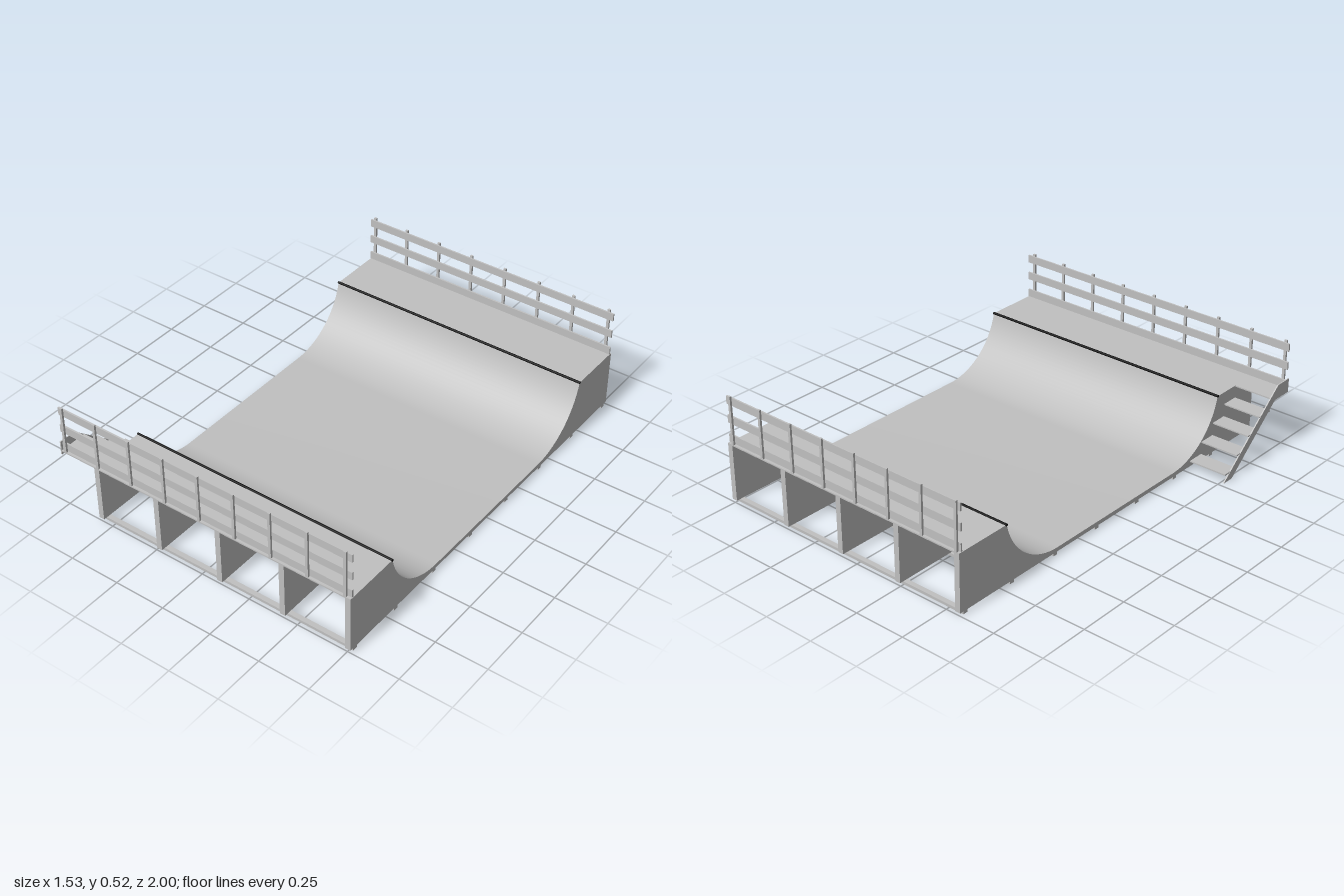
import * as THREE from 'three';
import { toCreasedNormals } from 'three/addons/utils/BufferGeometryUtils.js';

const X0 = -0.575, X1 = 0.765, XSTAIR = -0.765;
const DECK = 0.292, FLAT = 0.033, FLAT_Z = 0.4, R = 0.328, SKIN = 0.006;

// Top line of the half pipe in (z, y), sunk below the riding surface by "off"
function pipeLine(off) {
  const cy = FLAT + R, r = R + off;
  const end = Math.acos((cy - DECK + off) / r);
  const half = [];
  for (let i = 0; i <= 24; i++) {
    const a = (end * i) / 24;
    half.push([FLAT_Z + r * Math.sin(a), cy - r * Math.cos(a)]);
  }
  half.push([1, DECK - off]);
  const other = half.map(([z, y]) => [-z, y]).reverse();
  return other.concat(half);
}

// Extrude a (z, y) outline along x from xa to xb
function extrudeX(points, xa, xb) {
  const shape = new THREE.Shape(points.map(([z, y]) => new THREE.Vector2(z, y)));
  const geo = new THREE.ExtrudeGeometry(shape, { depth: xb - xa, bevelEnabled: false });
  geo.rotateY(-Math.PI / 2).translate(xb, 0, 0);
  return toCreasedNormals(geo, 0.4);
}

export function createModel() {
  const model = new THREE.Group();
  model.name = 'halfPipe';
  const grey = new THREE.MeshStandardMaterial({ color: 0xc0c0c0 });
  grey.name = 'greyBoards';
  const black = new THREE.MeshStandardMaterial({ color: 0x080808 });
  black.name = 'blackCoping';

  const add = (name, geo, mat = grey, parent = model) => {
    const mesh = new THREE.Mesh(geo, mat);
    mesh.name = name;
    parent.add(mesh);
    return mesh;
  };
  // Box given by its limits on each axis
  const box = (name, xa, xb, ya, yb, za, zb, parent = model) => {
    const mesh = add(name, new THREE.BoxGeometry(xb - xa, yb - ya, zb - za), grey, parent);
    mesh.position.set((xa + xb) / 2, (ya + yb) / 2, (za + zb) / 2);
    return mesh;
  };

  // Riding surface with both platforms
  const top = pipeLine(0), under = pipeLine(SKIN);
  add('ridingSurface', extrudeX([...top, ...under.slice().reverse()], X0, X1));

  // Upright ribs running the whole length
  const ribOutline = [...under, [1, 0.013], [-1, 0.013]];
  for (let i = 0; i < 5; i++) {
    const x = X0 + i * 0.32825;
    add('rib', extrudeX(ribOutline, x, x + 0.027));
  }

  // Cross joists on the ground
  for (const z of [0.97, 0.69, 0.415, 0.14]) {
    for (const s of [-1, 1]) box('joist', X0, X1, 0, 0.013, s * z - 0.012, s * z + 0.012);
  }

  // Coping along both lips
  for (const s of [-1, 1]) {
    const geo = new THREE.CylinderGeometry(0.006, 0.006, X1 - X0 + 0.004, 12).rotateZ(Math.PI / 2);
    add('coping', geo, black).position.set((X0 + X1) / 2, DECK, s * 0.722);
  }

  // Railings: posts outside, three boards inside
  for (const s of [-1, 1]) {
    const railing = new THREE.Group();
    railing.name = s > 0 ? 'frontRailing' : 'backRailing';
    model.add(railing);
    const first = s > 0 ? 0 : 1;
    for (let i = first; i < 9; i++) {
      const x = -0.74 + i * 0.1844;
      const post = box('post', x - 0.0065, x + 0.0065, DECK, 0.525, 0.99, 1, railing);
      post.position.z *= s;
    }
    for (const y of [0.295, 0.387, 0.478]) {
      const board = box('railBoard', s > 0 ? XSTAIR : X0, X1, y, y + 0.038, 0.982, 0.99, railing);
      board.position.z *= s;
    }
  }

  // Landing and stairs beside the front platform
  const stairs = new THREE.Group();
  stairs.name = 'stairs';
  model.add(stairs);
  box('landing', XSTAIR, X0, DECK - SKIN, DECK, 0.86, 1, stairs);
  for (let i = 0; i < 4; i++) {
    const y = 0.038 + i * 0.063, z = 0.53 + i * 0.083;
    box('tread', XSTAIR, X0, y - 0.003, y + 0.003, z, z + 0.083, stairs);
  }
  const stringer = [[1, 0.338], [0.915, 0.338], [0.522, 0], [0.582, 0], [0.895, 0.27], [1, 0.27]];
  add('stringer', extrudeX(stringer, XSTAIR - 0.002, XSTAIR + 0.004), grey, stairs);

  return model;
}
